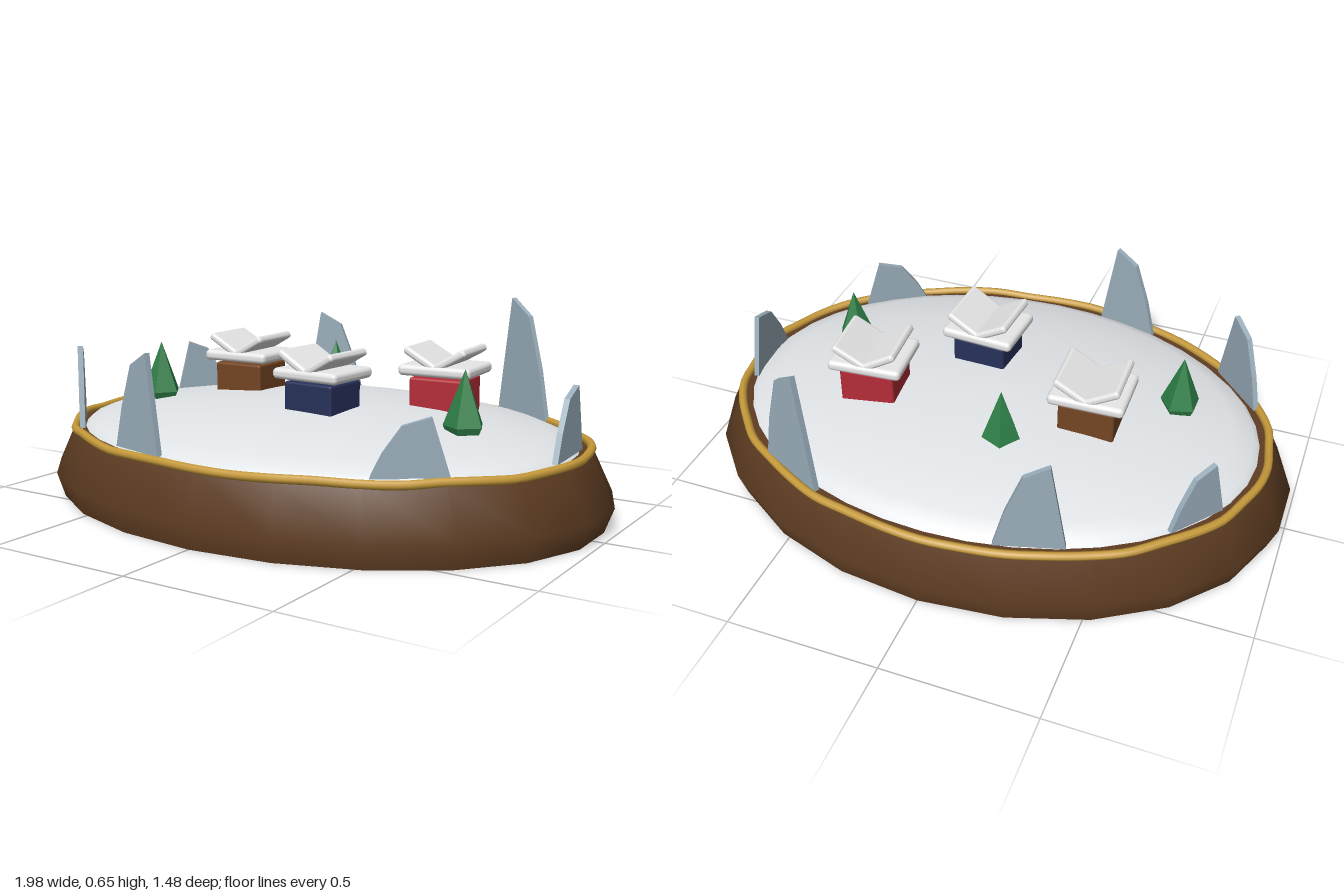
import * as THREE from 'three';
import { toCreasedNormals } from 'three/addons/utils/BufferGeometryUtils.js';
import { RoundedBoxGeometry } from 'three/addons/geometries/RoundedBoxGeometry.js';

const paint = (name, color) => {
  const m = new THREE.MeshStandardMaterial({ color });
  m.name = name;
  return m;
};

const OVAL = 0.74; // depth of the oval relative to its width

export function createModel() {
  const wood = paint('dark wood', 0x5f3d22);
  const gold = paint('gold', 0xc69a3a);
  const snow = paint('snow', 0xe2e5e8);
  const roofSnow = paint('roof snow', 0xeeeeee);
  const rock = paint('blue grey rock', 0x9aaebb);
  const pine = paint('pine green', 0x2f8048);
  const red = paint('red wall', 0xb42c38);
  const navy = paint('navy wall', 0x27315a);
  const brown = paint('brown wall', 0x744522);

  const model = new THREE.Group();
  const add = (parent, name, geometry, material, x = 0, y = 0, z = 0) => {
    const mesh = new THREE.Mesh(geometry, material);
    mesh.name = name;
    mesh.position.set(x, y, z);
    parent.add(mesh);
    return mesh;
  };
  const lathe = (points, sides) =>
    new THREE.LatheGeometry(points.map(([r, y]) => new THREE.Vector2(r, y)), sides);

  // Oval plinth with a sloped shoulder
  const plinth = lathe([[0, 0], [0.97, 0], [1, 0.08], [0.925, 0.232], [0, 0.236]], 22);
  plinth.scale(1, 1, OVAL);
  add(model, 'plinth', toCreasedNormals(plinth, 0.95), wood);

  // Slightly wavy gold rim
  const rimPoints = [];
  for (let i = 0; i < 44; i++) {
    const a = (i / 44) * Math.PI * 2;
    const r = 0.912 + 0.004 * Math.sin(i * 2.3);
    rimPoints.push(new THREE.Vector3(
      r * Math.cos(a), 0.236 + 0.003 * Math.sin(i * 1.7), r * 0.752 * Math.sin(a)));
  }
  const rimCurve = new THREE.CatmullRomCurve3(rimPoints, true);
  add(model, 'rim', new THREE.TubeGeometry(rimCurve, 132, 0.014, 8, true), gold);

  // Low snow mound
  const mound = lathe([[0.88, 0.232], [0.86, 0.25], [0.79, 0.275], [0.62, 0.305],
    [0.42, 0.329], [0.2, 0.343], [0.06, 0.348], [0, 0.348]], 40);
  mound.scale(1, 1, OVAL);
  add(model, 'snowMound', mound, snow);

  // Thin jagged crags standing round the edge: x, z, width, height
  const crags = [
    [0.862, -0.03, 0.24, 0.21], [0.59, 0.46, 0.23, 0.175],
    [-0.275, 0.61, 0.215, 0.31], [-0.74, 0.365, 0.24, 0.27],
    [-0.755, -0.32, 0.2, 0.2], [-0.32, -0.6, 0.22, 0.31],
    [0.49, -0.555, 0.25, 0.41],
  ];
  const cragOutline = [[-0.5, 0], [0.5, 0], [0.4, 0.42], [0.26, 1], [-0.1, 0.86], [-0.34, 0.42]];
  crags.forEach(([x, z, w, h]) => {
    const shape = new THREE.Shape(cragOutline.map(([u, v]) => new THREE.Vector2(u * w, v * h)));
    const geometry = new THREE.ExtrudeGeometry(shape, { depth: 0.018, bevelEnabled: false });
    geometry.translate(0, 0, -0.009);
    const crag = add(model, 'crag', geometry, rock, x, 0.24, z);
    crag.rotation.y = Math.atan2(x / 0.87 ** 2, z / 0.64 ** 2);
  });

  // Five-sided pines
  const treeGeometry = toCreasedNormals(
    lathe([[0, 0], [0.056, 0], [0.066, 0.022], [0, 0.195]], 5), 0.3);
  [[-0.59, 0.12, 0.3], [-0.1, -0.25, 0.9], [0.58, 0.1, 0.1]].forEach(([x, z, turn]) => {
    add(model, 'pineTree', treeGeometry, pine, x, 0.305, z).rotation.y = turn;
  });

  // Cottages: plain walls, a flat eave slab and two boards rising in a V
  const wallGeometry = new RoundedBoxGeometry(0.185, 0.125, 0.165, 2, 0.008);
  const eaveGeometry = new RoundedBoxGeometry(0.25, 0.036, 0.212, 3, 0.015);
  const boardGeometry = new RoundedBoxGeometry(0.145, 0.026, 0.2, 3, 0.011);
  [[-0.345, -0.075, 0.03, brown], [0.095, 0.142, -0.06, navy], [0.385, -0.15, 0.08, red]]
    .forEach(([x, z, turn, wall]) => {
      const cottage = new THREE.Group();
      cottage.name = 'cottage';
      cottage.position.set(x, 0, z);
      cottage.rotation.y = turn;
      model.add(cottage);
      add(cottage, 'walls', wallGeometry, wall, 0, 0.365, 0);
      add(cottage, 'eaveSlab', eaveGeometry, roofSnow, 0, 0.453, 0);
      for (const side of [-1, 1]) {
        add(cottage, 'roofBoard', boardGeometry, roofSnow, side * 0.042, 0.486, 0)
          .rotation.z = side * 0.52;
      }
    });

  return model;
}
